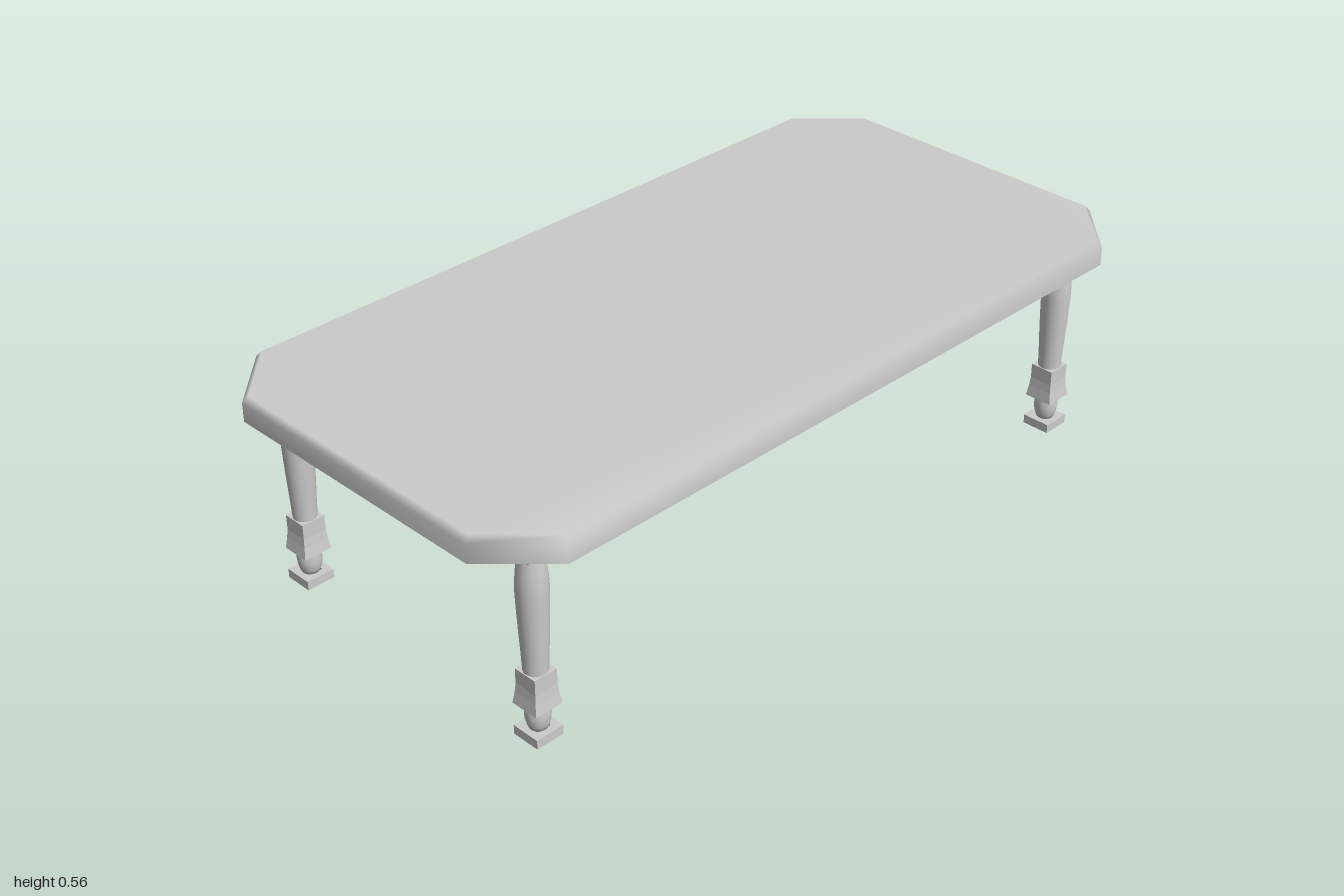
import * as THREE from 'three';

const smooth = new THREE.MeshStandardMaterial({ color: 0xcccccc });
const flat = new THREE.MeshStandardMaterial({ color: 0xcccccc, flatShading: true });

function addMesh(parent, name, geometry, material) {
  const mesh = new THREE.Mesh(geometry, material);
  mesh.name = name;
  parent.add(mesh);
  return mesh;
}

// Turned profile, listed from bottom to top as [radius, y]
const turned = (profile, sides = 20) =>
  new THREE.LatheGeometry(profile.map(([r, y]) => new THREE.Vector2(r, y)), sides);

// Square profile, listed from bottom to top as [half width, y]
function squared(profile) {
  const g = turned(profile.map(([h, y]) => [h * Math.SQRT2, y]), 4);
  return g.rotateY(Math.PI / 4);
}

// Rectangle with cut corners, inset by a margin
function outline(inset) {
  const x = 0.507 - inset, z = 1 - inset;
  const cx = 0.365 - inset * 0.41, cz = 0.86 - inset * 0.41;
  return [[x, -cz], [x, cz], [cx, z], [-cx, z], [-x, cz], [-x, -cz], [-cx, -z], [cx, -z]];
}

// Slab from stacked rings: straight edge, then a soft chamfer into the top
function slabGeometry() {
  const positions = [], index = [], n = 8;
  const rings = [[0, 0.496], [0, 0.542], [0.013, 0.556]];
  const addRing = (inset, y) => outline(inset).forEach(([x, z]) => positions.push(x, y, z));
  rings.forEach(([inset, y]) => addRing(inset, y));
  for (let r = 0; r < rings.length - 1; r++) {
    for (let i = 0; i < n; i++) {
      const a = r * n + i, b = r * n + (i + 1) % n;
      index.push(a, a + n, b, b, a + n, b + n);
    }
  }
  const top = (rings.length - 1) * n, under = rings.length * n;
  addRing(0, 0.496); // separate ring keeps the underside flat
  for (let i = 1; i < n - 1; i++) {
    index.push(top, top + i + 1, top + i);
    index.push(under, under + i, under + i + 1);
  }
  const g = new THREE.BufferGeometry();
  g.setAttribute('position', new THREE.Float32BufferAttribute(positions, 3));
  g.setIndex(index);
  g.computeVertexNormals();
  return g;
}

// Square foot with a recess in its underside
function footGeometry() {
  const square = (path, h) => path.moveTo(-h, -h).lineTo(h, -h).lineTo(h, h).lineTo(-h, h).closePath();
  const shape = square(new THREE.Shape(), 0.0365);
  shape.holes.push(square(new THREE.Path(), 0.018));
  const g = new THREE.ExtrudeGeometry(shape, { depth: 0.023, bevelEnabled: false });
  return g.rotateX(-Math.PI / 2);
}

function createLeg() {
  const leg = new THREE.Group();
  addMesh(leg, 'foot', footGeometry(), flat);
  addMesh(leg, 'ankle', turned([
    [0, 0.022], [0.021, 0.022], [0.025, 0.033], [0.028, 0.045],
    [0.029, 0.057], [0.0285, 0.07], [0.027, 0.084],
  ]), smooth);
  addMesh(leg, 'flaredBlock', squared([
    [0, 0.083], [0.0365, 0.083], [0.0325, 0.112], [0.0305, 0.135], [0.0305, 0.172], [0, 0.172],
  ]), flat);
  addMesh(leg, 'shaft', turned([
    [0.028, 0.17], [0.030, 0.22], [0.0325, 0.27], [0.0345, 0.32], [0.036, 0.37],
    [0.0355, 0.395], [0.033, 0.425], [0.029, 0.455], [0.0265, 0.475],
  ]), smooth);
  addMesh(leg, 'capBlock', new THREE.BoxGeometry(0.081, 0.024, 0.081), flat).position.y = 0.484;
  return leg;
}

export function createModel() {
  const table = new THREE.Group();
  table.name = 'table';
  addMesh(table, 'tabletop', slabGeometry(), smooth);
  for (const [zName, sz] of [['front', 1], ['back', -1]]) {
    for (const [xName, sx] of [['Left', 1], ['Right', -1]]) {
      const leg = createLeg();
      leg.name = `${zName}${xName}Leg`;
      leg.position.set(sx * 0.39, 0, sz * 0.857);
      table.add(leg);
    }
  }
  return table;
}
